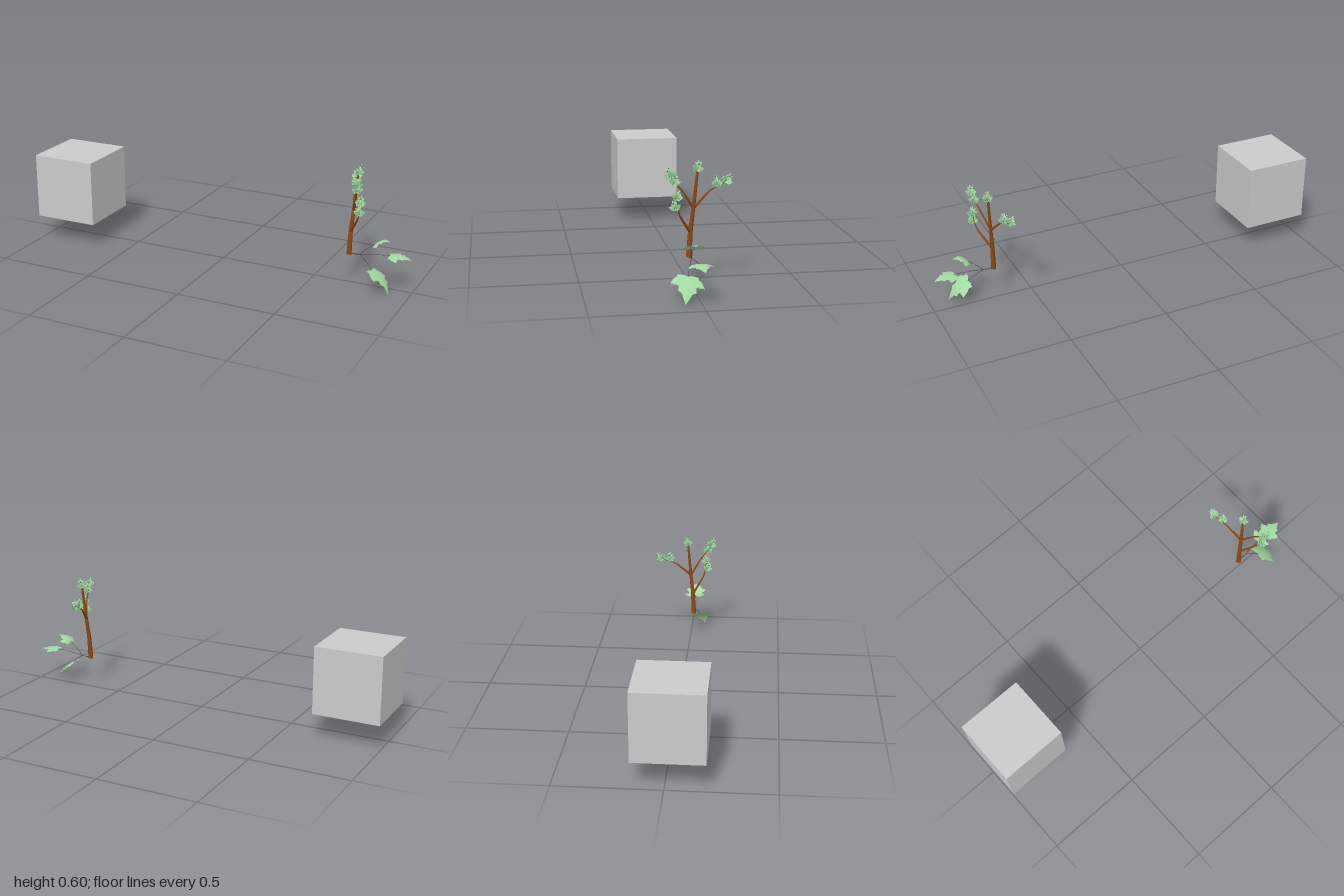
import * as THREE from 'three';

const V = (x, y, z) => new THREE.Vector3(x, y, z);
const grey = new THREE.MeshStandardMaterial({ color: 0xcccccc });
const bark = new THREE.MeshStandardMaterial({ color: 0x8f4a12 });
const stalk = new THREE.MeshStandardMaterial({ color: 0x4a4a38 });
const green = new THREE.MeshStandardMaterial({ color: 0xa2dca2, side: THREE.DoubleSide });

// Half outline of a lobed leaf: [sideways, lengthwise] for a leaf of length 1
const OUTLINE = [
  [0, 0], [0.14, -0.05], [0.36, -0.04], [0.35, 0.06], [0.46, 0.16], [0.56, 0.38],
  [0.42, 0.35], [0.27, 0.40], [0.30, 0.60], [0.21, 0.60], [0.11, 0.80], [0, 1],
];

function addMesh(parent, name, geometry, material) {
  const mesh = new THREE.Mesh(geometry, material);
  mesh.name = name;
  parent.add(mesh);
  return mesh;
}

// Round limb along a path, tapering from r0 to r1
function limb(points, r0, r1, sides = 10) {
  const curve = new THREE.CatmullRomCurve3(points, false, 'catmullrom', 0.15);
  const rings = 16;
  const geo = new THREE.TubeGeometry(curve, rings, r0, sides, false);
  const pos = geo.attributes.position;
  const p = V(0, 0, 0);
  for (let i = 0; i <= rings; i++) {
    const c = curve.getPointAt(i / rings);
    const k = THREE.MathUtils.lerp(1, r1 / r0, i / rings);
    for (let j = 0; j <= sides; j++) {
      const n = i * (sides + 1) + j;
      p.fromBufferAttribute(pos, n).sub(c).multiplyScalar(k).add(c);
      pos.setXYZ(n, p.x, p.y, p.z);
    }
  }
  return geo;
}

// Leaf from base to tip; arch lifts its middle along the normal, cup lowers its edges
function leaf(base, tip, sideways, size, arch, cup) {
  const along = tip.clone().sub(base);
  const dir = along.clone().normalize();
  const side = sideways.clone().addScaledVector(dir, -sideways.dot(dir)).normalize();
  const normal = side.clone().cross(dir).normalize();
  const cols = 4, positions = [], index = [];
  for (const s of [1, -1]) {
    const start = positions.length / 3;
    OUTLINE.forEach(([w, l], i) => {
      const rib = i / (OUTLINE.length - 1);
      for (let k = 0; k <= cols; k++) {
        const t = k / cols;
        const u = w * t * s;
        const v = THREE.MathUtils.lerp(rib, l, t);
        const p = base.clone().addScaledVector(along, v)
          .addScaledVector(side, u * size)
          .addScaledVector(normal, arch * 4 * v * (1 - v) - cup * u * u);
        positions.push(p.x, p.y, p.z);
        if (i === 0 || k === 0) continue;
        const d = start + i * (cols + 1) + k;
        const c = d - 1, b = d - cols - 1, a = b - 1;
        if (s > 0) index.push(a, b, c, b, d, c);
        else index.push(a, c, b, b, c, d);
      }
    });
  }
  const geo = new THREE.BufferGeometry();
  geo.setAttribute('position', new THREE.Float32BufferAttribute(positions, 3));
  geo.setIndex(index);
  geo.computeVertexNormals();
  return geo;
}

// Bud-like tuft of small cupped leaves around an axis
function tuft(center, axis, turn) {
  const group = new THREE.Group();
  group.name = 'leafTuft';
  const a = axis.clone().normalize();
  const q = new THREE.Quaternion().setFromUnitVectors(V(0, 1, 0), a);
  const bottom = center.clone().addScaledVector(a, -0.021);
  for (let i = 0; i < 6; i++) {
    const angle = turn + i * Math.PI / 3;
    const out = V(Math.cos(angle), 0, Math.sin(angle)).applyQuaternion(q);
    const spread = i % 2 ? 0.01 : 0.021;
    const base = bottom.clone().addScaledVector(out, 0.003);
    const tip = bottom.clone().addScaledVector(a, i % 2 ? 0.047 : 0.038).addScaledVector(out, spread);
    const side = a.clone().cross(out).negate();
    addMesh(group, 'smallLeaf', leaf(base, tip, side, 0.045, 0.011, 0.04), green);
  }
  return group;
}

export function createModel() {
  const model = new THREE.Group();
  model.name = 'saplingAndCube';

  // Plain cube on the right
  addMesh(model, 'cube', new THREE.BoxGeometry(0.335, 0.335, 0.335), grey)
    .position.set(-0.8325, 0.2975, 0.018);

  const tree = new THREE.Group();
  tree.name = 'sapling';
  model.add(tree);

  // Trunk with a closed foot
  const foot = V(0.682, 0.152, 0.02);
  addMesh(tree, 'trunk', limb(
    [foot, V(0.684, 0.27, 0.014), V(0.691, 0.38, 0.002), V(0.7, 0.546, -0.014)], 0.0128, 0.0055), bark);
  const cap = addMesh(tree, 'trunkFoot', new THREE.CircleGeometry(0.0128, 10), bark);
  cap.position.copy(foot);
  cap.rotation.x = Math.PI / 2;

  // Branches: path, start radius, end radius
  const branches = [
    [[V(0.684, 0.268, 0.015), V(0.732, 0.35, 0.068), V(0.744, 0.393, 0.081), V(0.748, 0.44, 0.085)], 0.007, 0.0015],
    [[V(0.69, 0.378, 0.003), V(0.718, 0.46, 0.054), V(0.73, 0.502, 0.089), V(0.738, 0.53, 0.112)], 0.006, 0.0015],
    [[V(0.69, 0.378, 0.002), V(0.665, 0.45, -0.077), V(0.645, 0.482, -0.15)], 0.007, 0.0012],
  ];
  for (const [path, r0, r1] of branches) addMesh(tree, 'branch', limb(path, r0, r1, 8), bark);

  // Leaf tufts at the branch ends and trunk top: center, axis
  const tufts = [
    [V(0.703, 0.57, -0.017), V(0.1, 1, -0.1)],
    [V(0.748, 0.408, 0.095), V(0, 1, 0.15)],
    [V(0.75, 0.453, 0.082), V(0.1, 1, -0.2)],
    [V(0.735, 0.518, 0.093), V(0, 1, 0)],
    [V(0.74, 0.55, 0.118), V(0, 1, 0.3)],
    [V(0.66, 0.491, -0.111), V(0, 1, 0)],
    [V(0.643, 0.498, -0.165), V(-0.1, 0.8, -0.5)],
  ];
  tufts.forEach(([c, a], i) => tree.add(tuft(c, a, i * 0.7)));

  // Shared stalk at the foot, splitting into three long-stemmed leaves
  const fork = V(0.735, 0.16, 0.018);
  addMesh(tree, 'stalk', limb([foot.clone().setY(0.157), V(0.71, 0.157, 0.019), fork], 0.0025, 0.0018, 6), stalk);
  const bigLeaves = [
    // base, tip, sideways, size, arch, cup
    [V(0.81, 0.226, 0.022), V(0.885, 0.252, 0.025), V(0, 0, 1), 0.1, 0.01, 0.04],
    [V(0.885, 0.176, 0.012), V(0.99, 0.165, 0.002), V(0, 0, 1), 0.105, 0.007, 0.03],
    [V(0.81, 0.1, 0.046), V(0.905, 0, 0.073), V(0, 0.1, 1), 0.138, 0.018, 0.03],
  ];
  for (const [base, tip, side, size, arch, cup] of bigLeaves) {
    const mid = fork.clone().lerp(base, 0.5).add(V(0, 0.003, 0));
    addMesh(tree, 'leafStem', limb([fork, mid, base], 0.0014, 0.0008, 6), stalk);
    // the normal must point up, so the sideways axis is +z with the leaf running to +x
    addMesh(tree, 'bigLeaf', leaf(base, tip, side, size, arch, cup), green);
  }
  return model;
}
